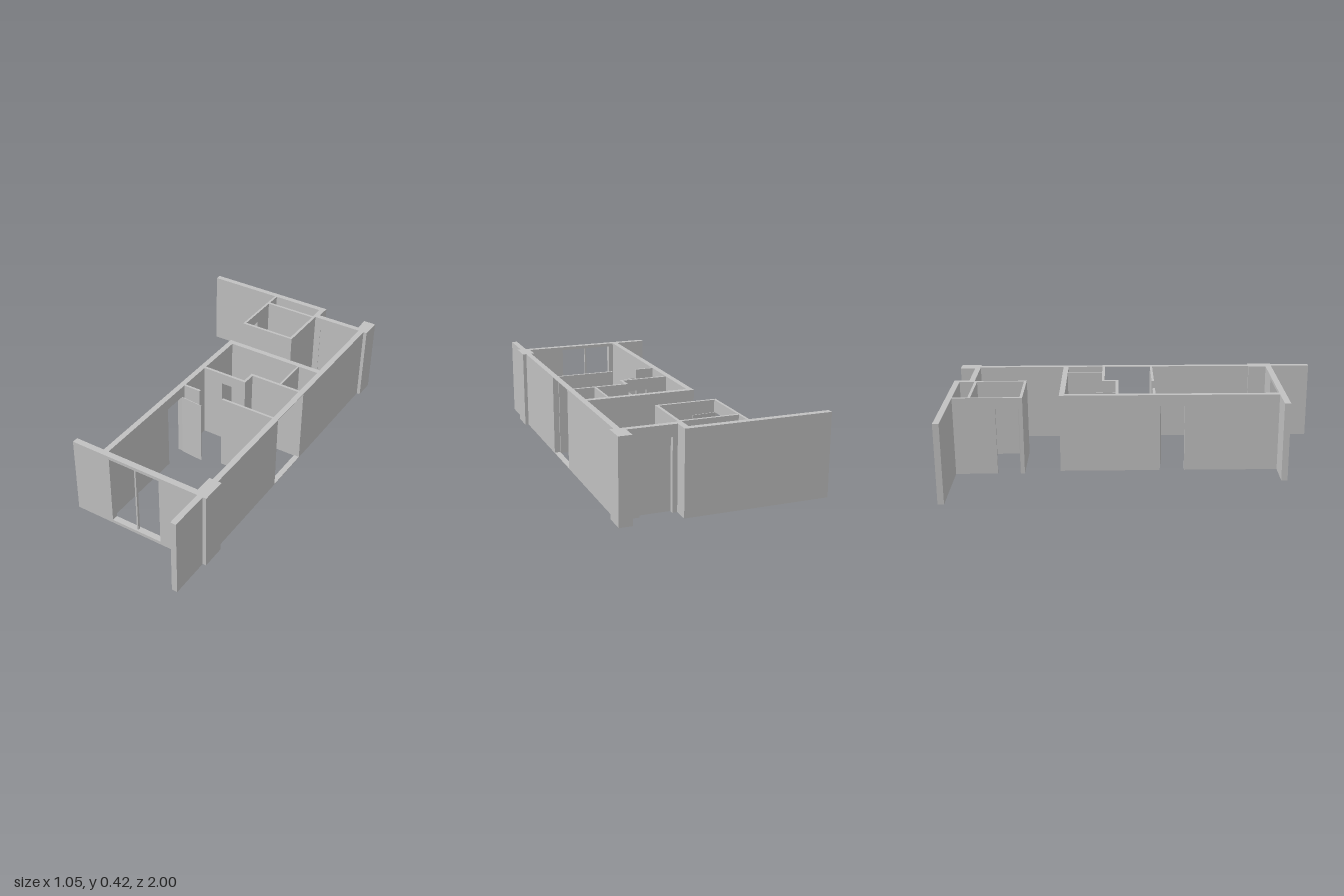
import * as THREE from 'three';

const H = 0.422;     // wall height
const DOOR = 0.362;  // door head height

export function createModel() {
  const model = new THREE.Group();
  model.name = 'floorPlan';
  const plaster = new THREE.MeshStandardMaterial({ color: 0xc0c0c0 });
  plaster.name = 'grey plaster';

  // Box given by its limits on each axis
  function block(name, [x0, x1], [z0, z1], [y0, y1] = [0, H]) {
    const mesh = new THREE.Mesh(new THREE.BoxGeometry(x1 - x0, y1 - y0, z1 - z0), plaster);
    mesh.position.set((x0 + x1) / 2, (y0 + y1) / 2, (z0 + z1) / 2);
    mesh.name = name;
    model.add(mesh);
  }

  // Extruded wall with one rectangular opening; runs along x or z
  function openWall(name, axis, [a0, a1], [b0, b1], [o0, o1], [y0, y1]) {
    const s = axis === 'x' ? 1 : -1;
    const rect = (T, u0, u1, v0, v1) => new T([
      [u0, v0], [u1, v0], [u1, v1], [u0, v1]].map(([u, v]) => new THREE.Vector2(s * u, v)));
    let shape;
    if (y0 > 0) {
      shape = rect(THREE.Shape, a0, a1, 0, H);
      shape.holes.push(rect(THREE.Path, o0, o1, y0, y1));
    } else {
      shape = new THREE.Shape([[a0, 0], [o0, 0], [o0, y1], [o1, y1], [o1, 0], [a1, 0], [a1, H], [a0, H]]
        .map(([u, v]) => new THREE.Vector2(s * u, v)));
    }
    const geo = new THREE.ExtrudeGeometry(shape, { depth: b1 - b0, bevelEnabled: false });
    geo.translate(0, 0, b0);
    if (axis === 'z') geo.rotateY(Math.PI / 2);
    const mesh = new THREE.Mesh(geo, plaster);
    mesh.name = name;
    model.add(mesh);
  }

  // Thin door leaf swung between two plan points
  function leaf(name, x0, z0, x1, z1) {
    const mesh = new THREE.Mesh(
      new THREE.BoxGeometry(Math.hypot(x1 - x0, z1 - z0), DOOR, 0.004), plaster);
    mesh.position.set((x0 + x1) / 2, DOOR / 2, (z0 + z1) / 2);
    mesh.rotation.y = -Math.atan2(z1 - z0, x1 - x0);
    mesh.name = name;
    model.add(mesh);
  }

  // Long side wall, interrupted by a full height gap with thin strips above and below
  const side = [0.473, 0.503];
  block('sideWallFront', side, [0.091, 1]);
  block('sideWallBack', side, [-0.89, -0.175]);
  block('gapTopStrip', side, [-0.175, 0.091], [H - 0.003, H]);
  block('gapBottomStrip', side, [-0.175, 0.091], [0, 0.003]);
  block('frontPier', [0.455, 0.522], [0.652, 0.783]);
  block('backPier', [0.455, 0.522], [-1, -0.888]);

  // Front wall with the two-pane window opening
  openWall('frontWall', 'x', [-0.246, 0.473], [0.75, 0.783], [-0.03, 0.258], [0.018, 0.405]);
  block('windowMullion', [0.11, 0.119], [0.76, 0.773], [0.018, 0.405]);

  // Opposite long wall with its doorway, and the cross wall
  openWall('innerLongWall', 'z', [-0.413, 0.75], [-0.084, -0.055], [0.117, 0.25], [0, DOOR]);
  block('crossWall', [-0.055, 0.473], [-0.413, -0.384]);

  // Partitions of the middle rooms
  block('stubPartition', [-0.055, 0.04], [0.083, 0.096]);
  block('longPartition', [0.175, 0.473], [0.083, 0.096]);
  openWall('doorPartition', 'x', [-0.055, 0.198], [-0.115, -0.1], [0.055, 0.168], [0, DOOR]);
  block('cornerPartition', [0.184, 0.198], [-0.19, -0.115]);
  block('backPartition', [0.198, 0.473], [-0.19, -0.175]);
  block('closetPartition', [0.354, 0.365], [-0.384, -0.19]);

  // Back wall and the stepped entrance wall
  block('backWall', [-0.525, 0.211], [-1, -0.968]);
  block('stepWall', [0.181, 0.211], [-0.968, -0.888]);
  openWall('entranceWall', 'x', [0.211, 0.473], [-0.918, -0.888], [0.235, 0.395], [0, DOOR]);
  block('entranceDoor', [0.235, 0.395], [-0.894, -0.89], [0, DOOR]);

  // Small back room
  openWall('smallRoomDoorWall', 'z', [-0.968, -0.602], [-0.116, -0.103], [-0.745, -0.622], [0, DOOR]);
  block('smallRoomSideWall', [0.183, 0.198], [-0.888, -0.602]);
  block('smallRoomFrontWall', [-0.103, 0.183], [-0.617, -0.602]);
  block('smallRoomShaftWall', [-0.103, 0.183], [-0.888, -0.873]);

  // Open door leaves
  leaf('hallDoor', -0.055, 0.119, 0.073, 0.13);
  leaf('middleDoor', 0.166, -0.115, 0.157, -0.226);
  leaf('smallRoomDoor', -0.103, -0.624, 0.016, -0.635);

  return model;
}
